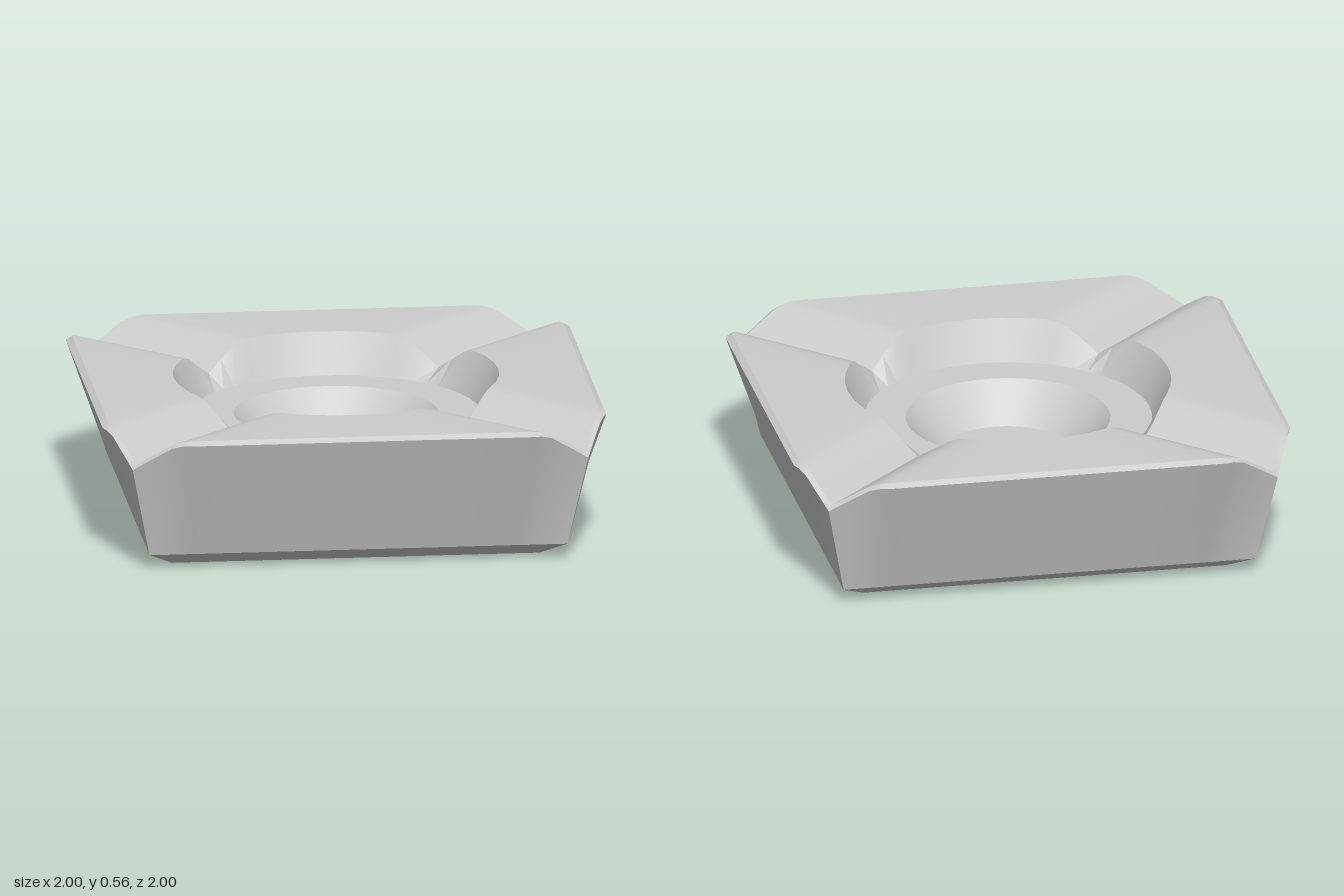
import * as THREE from 'three';
import { toCreasedNormals } from 'three/addons/utils/BufferGeometryUtils.js';

// Half a side is described by 8 points, from the corner (first) to the middle of the side (last).
const N = 7;
const RIM_RADIUS = 0.645;

// Upper edge of the outer wall, and the inner edge of its bevel: [x, y, z]
const WALL_TOP = [
  [0.905, 0.43, 0.905], [0.83, 0.48, 0.936], [0.755, 0.53, 0.968], [0.71, 0.543, 0.987],
  [0.68, 0.545, 1], [0.45, 0.545, 1], [0.22, 0.545, 1], [0, 0.545, 1],
];
const BEVEL_TOP = [
  [0.89, 0.45, 0.89], [0.82, 0.495, 0.919], [0.75, 0.54, 0.948], [0.71, 0.555, 0.965],
  [0.67, 0.56, 0.975], [0.45, 0.56, 0.975], [0.22, 0.56, 0.975], [0, 0.56, 0.975],
];

// Angle from the side's middle for each point; near the corner the groove keeps a constant width
const ANGLES = BEVEL_TOP.map(([x, , z], j) => {
  const groove = (k) => Math.PI / 4 - Math.asin((BEVEL_TOP[k][2] - BEVEL_TOP[k][0]) / Math.SQRT2 / RIM_RADIUS);
  return j <= 4 ? groove(j) : groove(4) * (N - j) / (N - 4);
});

// Repeat the half-side by mirroring and turning it into a full closed ring
function ring(half) {
  const points = [];
  for (let q = 0; q < 4; q++) {
    for (let s = -N; s < N; s++) {
      const [px, y, pz] = half[N - Math.abs(s)];
      let x = Math.sign(s) * px, z = pz;
      for (let k = 0; k < q; k++) [x, z] = [z, -x];
      points.push(new THREE.Vector3(x, y, z));
    }
  }
  return points;
}

const squareRing = (size, y) => ring(WALL_TOP.map(([x]) => [x / 0.905 * size, y, size]));
const roundRing = (r, heightAt) =>
  ring(ANGLES.map((a, j) => [r * Math.sin(a), heightAt(j), r * Math.cos(a)]));

// Skin consecutive rings, leaving out triangles that collapse at a centre point
function loft(name, rings, crease = 0.45) {
  const pos = [];
  const tri = new THREE.Triangle();
  const add = (a, b, c) => {
    if (tri.set(a, b, c).getArea() > 1e-8) for (const p of [a, b, c]) pos.push(p.x, p.y, p.z);
  };
  for (let r = 0; r < rings.length - 1; r++) {
    const A = rings[r], B = rings[r + 1];
    for (let i = 0; i < A.length; i++) {
      const k = (i + 1) % A.length;
      add(A[i], A[k], B[k]);
      add(A[i], B[k], B[i]);
    }
  }
  const geometry = new THREE.BufferGeometry();
  geometry.setAttribute('position', new THREE.Float32BufferAttribute(pos, 3));
  const mesh = new THREE.Mesh(
    toCreasedNormals(geometry, crease),
    new THREE.MeshStandardMaterial({ color: 0xcccccc, side: THREE.DoubleSide }),
  );
  mesh.name = name;
  return mesh;
}

export function createModel() {
  const group = new THREE.Group();
  group.name = 'ashtray';

  const foot = squareRing(0.73, 0);
  const wallBottom = squareRing(0.83, 0.06);
  const wallTop = ring(WALL_TOP);
  const bevelTop = ring(BEVEL_TOP);
  const rim = roundRing(RIM_RADIUS, (j) => BEVEL_TOP[j][1]);
  const ledgeOuter = roundRing(0.57, () => 0.4);
  const ledgeInner = roundRing(0.405, () => 0.4);
  const floorEdge = roundRing(0.27, () => 0.25);

  group.add(
    // Underside with its chamfered foot
    loft('base', [squareRing(0, 0), foot, wallBottom]),
    // Four flared outer walls
    loft('outerWalls', [wallBottom, wallTop]),
    // Narrow bevel around the upper edge
    loft('edgeBevel', [wallTop, bevelTop]),
    // Flat top with a diagonal rest groove at each corner
    loft('groovedTop', [bevelTop, rim]),
    // Round well: sloped wall, flat ledge, and the lower bowl
    loft('wellWall', [rim, ledgeOuter]),
    loft('ledge', [ledgeOuter, ledgeInner]),
    loft('bowl', [ledgeInner, floorEdge, roundRing(0, () => 0.25)]),
  );
  return group;
}
